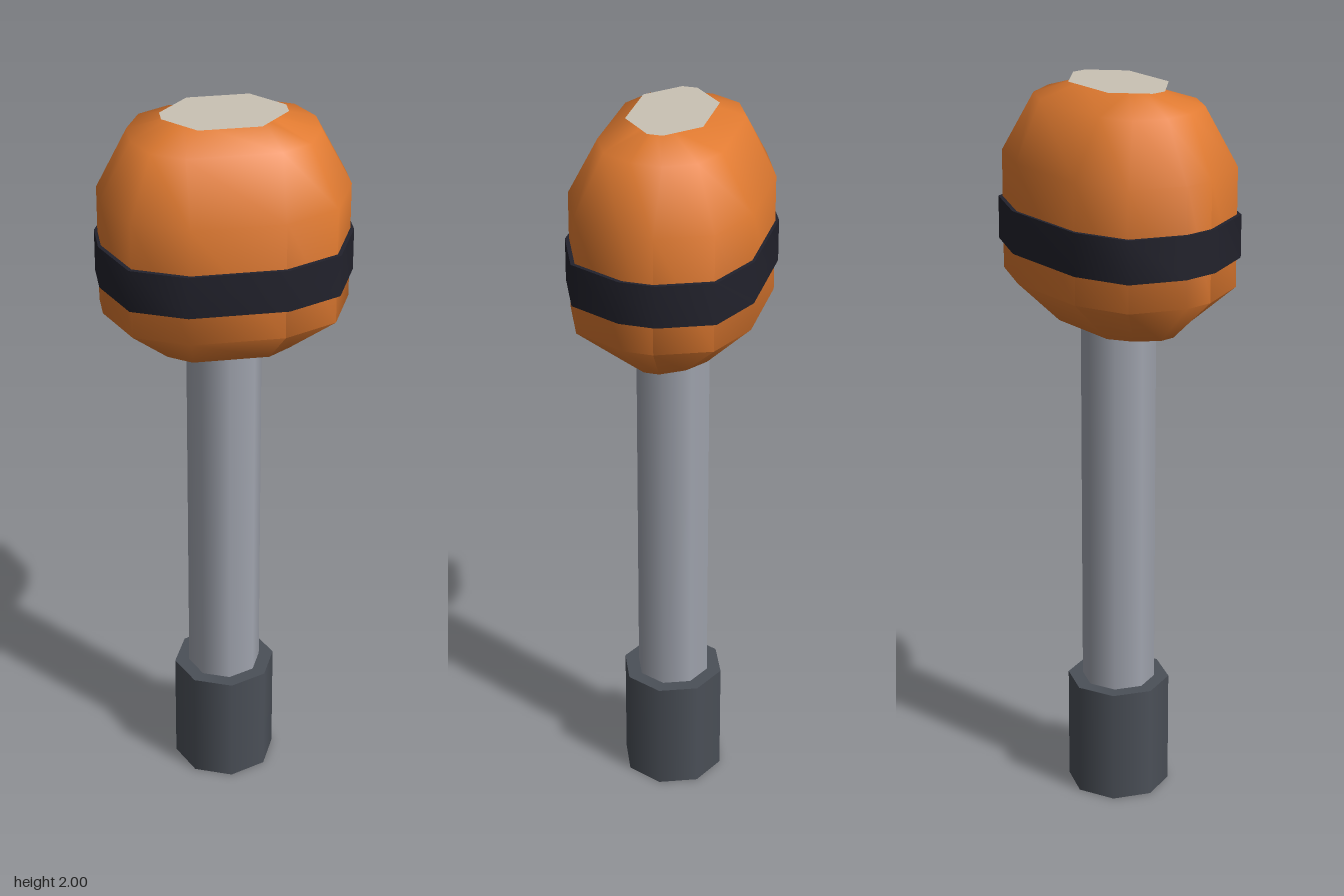
import * as THREE from 'three';
import { toCreasedNormals } from 'three/addons/utils/BufferGeometryUtils.js';

const mat = (name, color) => {
  const m = new THREE.MeshStandardMaterial({ color });
  m.name = name;
  return m;
};

// Twelve-sided rounded rectangle: half sizes, corner cut, inset of the corner's middle point
function outline(hx, hz, cut, mid) {
  const q = [[hx - cut, hz], [hx - mid, hz - mid], [hx, hz - cut]];
  const flip = (sx, sz) => q.map(([x, z]) => [x * sx, z * sz]);
  return [...flip(1, 1), ...flip(1, -1).reverse(), ...flip(-1, -1), ...flip(-1, 1).reverse()];
}

// Skin stacked outlines, closed at both ends; sections are [y, hx, hz, cut, mid]
function loft(sections, crease) {
  const pos = [], index = [], n = 12, last = sections.length - 1;
  for (const [y, ...shape] of sections) {
    for (const [x, z] of outline(...shape)) pos.push(x, y, z);
  }
  for (let s = 0; s < last; s++) {
    for (let i = 0; i < n; i++) {
      const a = s * n + i, b = s * n + (i + 1) % n;
      index.push(a, a + n, b, b, a + n, b + n);
    }
  }
  // End faces
  for (let i = 1; i < n - 1; i++) {
    index.push(0, i, i + 1);
    index.push(last * n, last * n + i + 1, last * n + i);
  }
  // Outline runs clockwise from above, so reverse every face to point outward
  for (let i = 0; i < index.length; i += 3) {
    [index[i + 1], index[i + 2]] = [index[i + 2], index[i + 1]];
  }
  const g = new THREE.BufferGeometry();
  g.setAttribute('position', new THREE.Float32BufferAttribute(pos, 3));
  g.setIndex(orient(pos, index));
  return toCreasedNormals(g, crease);
}

// Turn each triangle of a convex, axis-centred body outward
function orient(pos, index) {
  const v = (i) => new THREE.Vector3().fromArray(pos, i * 3);
  const centre = new THREE.Vector3();
  for (let i = 0; i < pos.length / 3; i++) centre.add(v(i));
  centre.divideScalar(pos.length / 3);
  for (let i = 0; i < index.length; i += 3) {
    const [a, b, c] = [v(index[i]), v(index[i + 1]), v(index[i + 2])];
    const normal = b.sub(a).cross(c.sub(a));
    if (normal.dot(a.sub(centre)) < 0) [index[i + 1], index[i + 2]] = [index[i + 2], index[i + 1]];
  }
  return index;
}

export function createModel() {
  const group = new THREE.Group();
  const add = (name, geometry, material, y = 0) => {
    const mesh = new THREE.Mesh(geometry, material);
    mesh.name = name;
    mesh.position.y = y;
    group.add(mesh);
    return mesh;
  };

  // Handle
  add('grip', new THREE.CylinderGeometry(0.14, 0.14, 0.32, 8), mat('dark grey', 0x4b5058), 0.16);
  add('shaft', new THREE.CylinderGeometry(0.1, 0.1, 1.1, 8), mat('steel grey', 0xa0a4ae), 0.85);

  // Rounded head
  add('head', loft([
    [1.36, 0.2, 0.12, 0.1, 0.04],
    [1.48, 0.32, 0.24, 0.2, 0.06],
    [1.8, 0.32, 0.24, 0.2, 0.06],
    [1.955, 0.24, 0.16, 0.12, 0.04],
    [1.995, 0.12, 0.04, 0.03, 0.015],
  ], 0.9), mat('orange', 0xe07a30));

  // Band around the head
  add('band', loft([
    [1.56, 0.328, 0.248, 0.2, 0.06],
    [1.675, 0.328, 0.248, 0.2, 0.06],
  ], 0.9), mat('near black', 0x22222c));

  // Pale flat plate on top
  const plate = new THREE.Shape(outline(0.16, 0.1, 0.08, 0.04).map(([x, z]) => new THREE.Vector2(x, z)));
  add('topPlate', new THREE.ShapeGeometry(plate).rotateX(-Math.PI / 2), mat('pale stone', 0xcac2b4), 2);

  return group;
}
